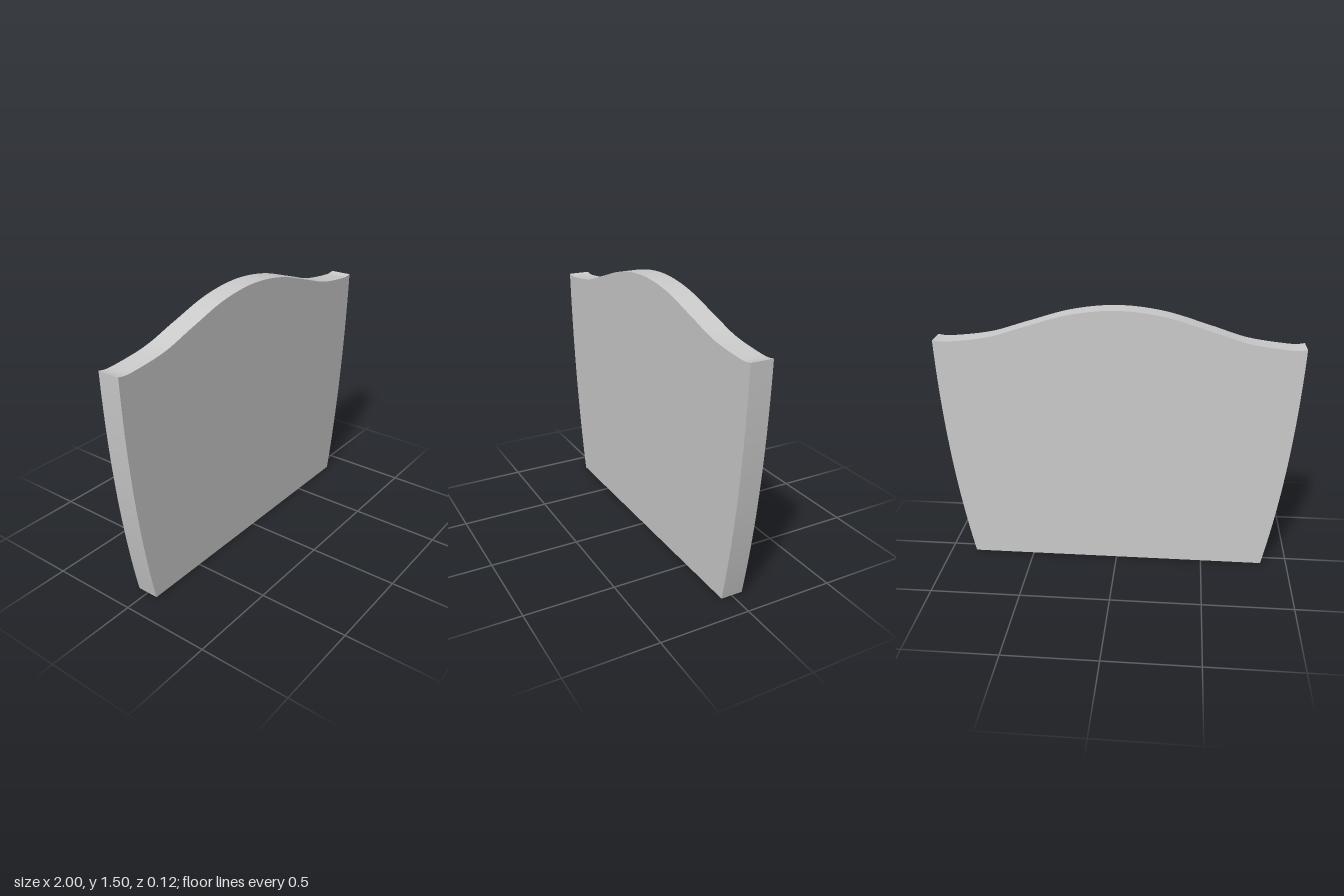
import * as THREE from 'three';
import { toCreasedNormals } from 'three/addons/utils/BufferGeometryUtils.js';

const THICKNESS = 0.124;

export function createModel() {
  const group = new THREE.Group();
  group.name = 'curvedPanel';

  // Right half of the wavy top edge, centre to corner
  const half = [[0, 1.5], [0.25, 1.473], [0.5, 1.4], [0.7, 1.339], [0.92, 1.31], [1, 1.315]]
    .map(([x, y]) => new THREE.Vector2(x, y));
  const mirrored = half.slice(1).map((p) => new THREE.Vector2(-p.x, p.y));

  // Outline: flat foot, bowed sides, wavy top
  const outline = new THREE.Shape();
  outline.moveTo(-0.85, 0);
  outline.lineTo(0.85, 0);
  outline.quadraticCurveTo(0.98, 0.6, 1, 1.315);
  outline.splineThru([...half.slice(0, -1).reverse(), ...mirrored]);
  outline.quadraticCurveTo(-0.98, 0.6, -0.85, 0);

  const geometry = new THREE.ExtrudeGeometry(outline, {
    depth: THICKNESS, bevelEnabled: false, curveSegments: 24,
  });
  geometry.translate(0, 0, -THICKNESS / 2);

  // Smooth along the curved rim, sharp at the corners
  const panel = new THREE.Mesh(
    toCreasedNormals(geometry, 0.4),
    new THREE.MeshStandardMaterial({ color: 0xcccccc }),
  );
  panel.name = 'panel';
  group.add(panel);
  return group;
}
